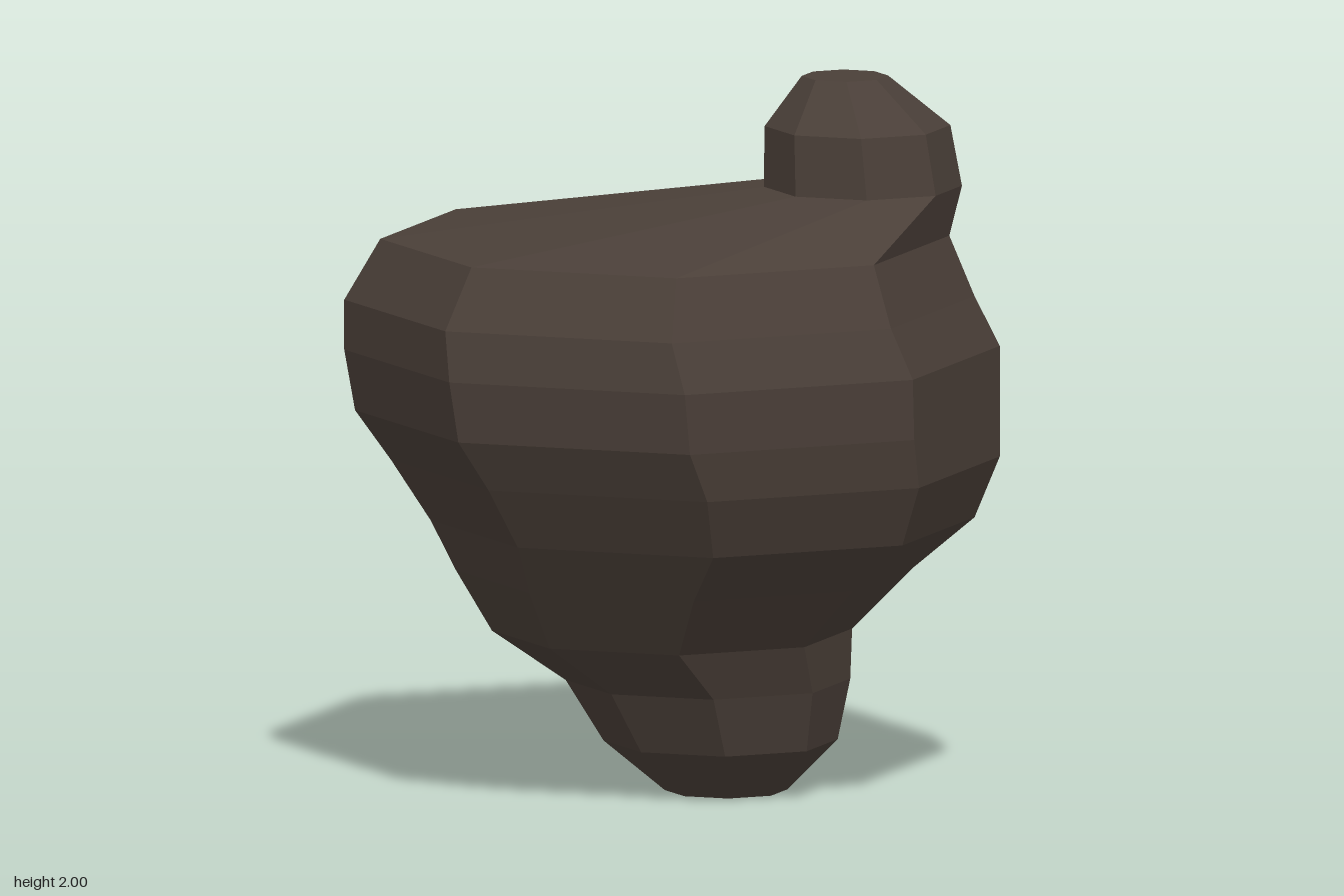
import * as THREE from 'three';

const SIDES = 8;

// Joins octagonal rings [y, centreX, radius], listed from bottom to top, with optional end caps
function loft(rings, capBottom, capTop) {
  const points = [];
  const index = [];
  for (const [y, cx, r] of rings) {
    for (let k = 0; k < SIDES; k++) {
      const a = (k / SIDES) * Math.PI * 2;
      points.push(cx + r * Math.cos(a), y, r * Math.sin(a));
    }
  }
  for (let i = 0; i < rings.length - 1; i++) {
    for (let k = 0; k < SIDES; k++) {
      const n = (k + 1) % SIDES;
      const b0 = i * SIDES + k, b1 = i * SIDES + n;
      const t0 = b0 + SIDES, t1 = b1 + SIDES;
      index.push(b0, t0, t1, b0, t1, b1);
    }
  }
  const last = (rings.length - 1) * SIDES;
  for (let k = 1; k < SIDES - 1; k++) {
    if (capBottom) index.push(0, k, k + 1);
    if (capTop) index.push(last, last + k + 1, last + k);
  }
  const indexed = new THREE.BufferGeometry();
  indexed.setAttribute('position', new THREE.Float32BufferAttribute(points, 3));
  indexed.setIndex(index);
  const geometry = indexed.toNonIndexed();
  geometry.computeVertexNormals();
  return geometry;
}

export function createModel() {
  const group = new THREE.Group();
  group.name = 'rock';
  const stone = new THREE.MeshStandardMaterial({ color: 0x4a3f38 });
  stone.name = 'dark brown stone';
  stone.flatShading = true;

  const add = (name, rings, capBottom, capTop) => {
    const mesh = new THREE.Mesh(loft(rings, capBottom, capTop), stone);
    mesh.name = name;
    group.add(mesh);
  };

  // Rings where neighbouring parts meet
  const neck = [0.45, 0, 0.5];
  const shoulder = [1.55, -0.02, 0.79];
  const collar = [1.69, 0.53, 0.275];

  // Narrow foot, offset to the left
  add('foot', [[0, 0.15, 0.17], [0.14, 0.135, 0.325], [0.31, 0.1, 0.395], neck], true, false);

  // Bulging main body
  add('body', [
    neck, [0.62, 0.035, 0.635], [0.76, 0.085, 0.755], [0.93, 0.065, 0.845],
    [1.07, 0.015, 0.895], [1.24, 0, 0.91], [1.38, -0.035, 0.875], shoulder,
  ], false, false);

  // Sloping upper surface rising to the knob
  add('slopingTop', [shoulder, collar], false, false);

  // Small knob near the left edge
  add('knob', [collar, [1.86, 0.515, 0.258], [2, 0.48, 0.12]], false, true);

  return group;
}
